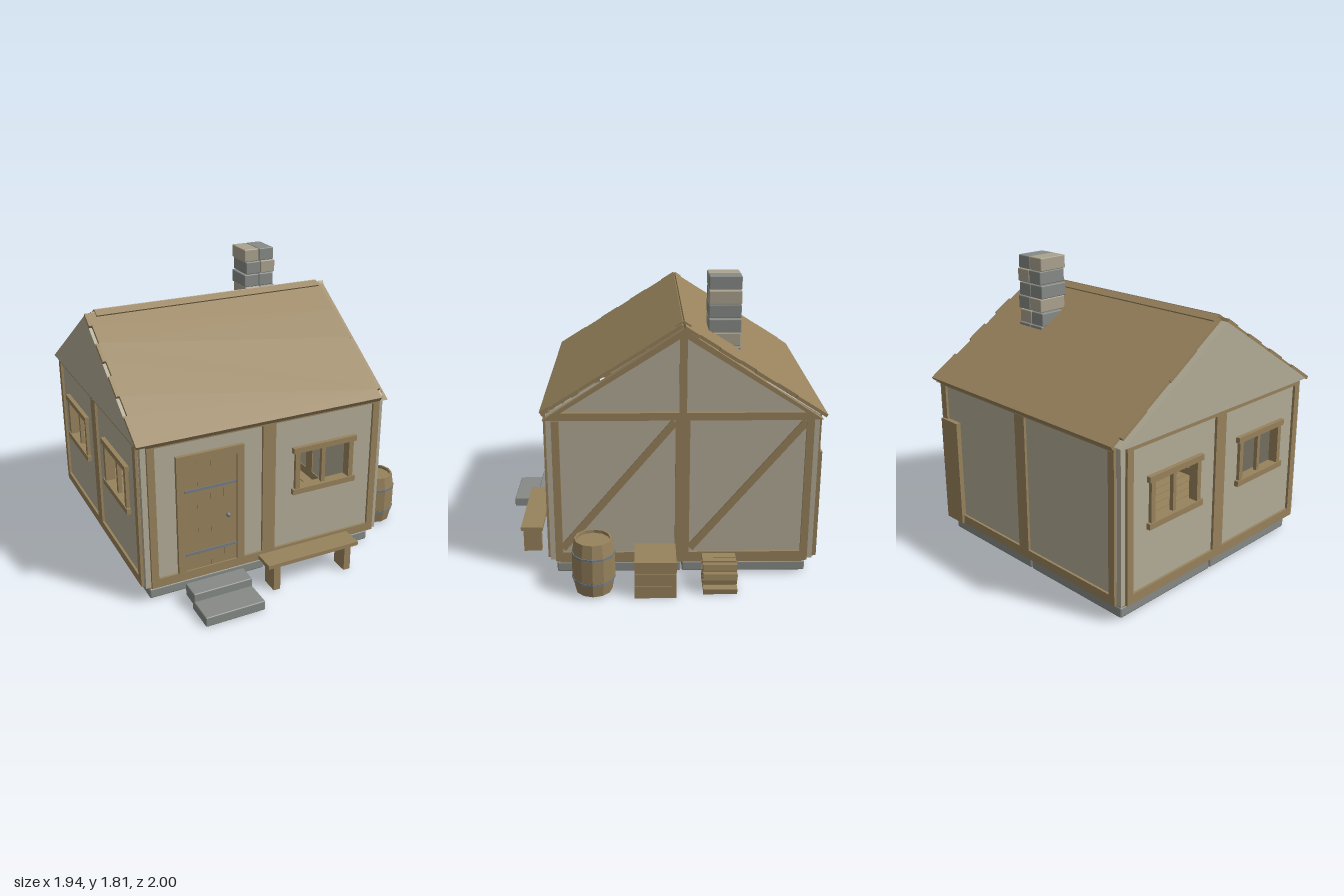
import * as THREE from 'three';
import { RoundedBoxGeometry } from 'three/addons/geometries/RoundedBoxGeometry.js';

const mat = (name, color) => {
  const m = new THREE.MeshStandardMaterial({ color });
  m.name = name;
  return m;
};

export function createModel() {
  const wood = mat('timber', 0x97825c);
  const plaster = mat('plaster', 0xb2ab96);
  const stone = mat('grey stone', 0x868a86);
  const paleStone = mat('pale stone', 0xaaa28e);
  const iron = mat('iron', 0x737d84);

  const model = new THREE.Group();
  const group = (name, parent) => {
    const g = new THREE.Group();
    g.name = name;
    parent.add(g);
    return g;
  };
  const add = (parent, name, geo, m) => {
    const mesh = new THREE.Mesh(geo, m);
    mesh.name = name;
    parent.add(mesh);
    return mesh;
  };
  // Box given by its extents on each axis
  const box = (parent, name, m, x0, x1, y0, y1, z0, z1, bevel = 0) => {
    const s = [x1 - x0, y1 - y0, z1 - z0];
    const geo = bevel ? new RoundedBoxGeometry(...s, 1, bevel) : new THREE.BoxGeometry(...s);
    const mesh = add(parent, name, geo, m);
    mesh.position.set((x0 + x1) / 2, (y0 + y1) / 2, (z0 + z1) / 2);
    return mesh;
  };
  const poly = (pts, Type = THREE.Shape) => new Type(pts.map(p => new THREE.Vector2(...p)));
  const slab = (parent, name, m, shape, z0, z1) => {
    const geo = new THREE.ExtrudeGeometry(shape, { depth: z1 - z0, bevelEnabled: false });
    geo.translate(0, 0, z0);
    return add(parent, name, geo, m);
  };

  const house = group('house', model);
  house.position.set(-0.14, 0, -0.16);
  const H = 0.77;

  // Foundation slabs and floor planks
  for (const sx of [-1, 1]) for (const sz of [-1, 1]) {
    const m = box(house, 'foundationSlab', stone, -0.382, 0.382, 0.005, 0.07, -0.382, 0.382, 0.01);
    m.position.x = sx * 0.386;
    m.position.z = sz * 0.386;
  }
  for (let i = 0; i < 20; i++) {
    const x = -H + i * 0.077;
    box(house, 'floorPlank', wood, x + 0.003, x + 0.074, 0.075, 0.108, -H, H);
  }
  box(house, 'floorCore', wood, -0.765, 0.765, 0.066, 0.1, -0.75, 0.75);

  // One framed wall: local x runs along it, local z points out of the house
  function wall(name, angle, windows) {
    const w = group(name, house);
    w.rotation.y = angle;
    const shape = poly([[-H, 0.11], [H, 0.11], [H, 1.05], [-H, 1.05]]);
    for (const c of windows) {
      shape.holes.push(poly([[c - 0.18, 0.55], [c - 0.18, 0.795], [c + 0.18, 0.795], [c + 0.18, 0.55]], THREE.Path));
      const f = group('window', w);
      f.position.x = c;
      for (const y of [0.515, 0.795]) box(f, 'windowRail', wood, -0.223, 0.223, y, y + 0.036, 0.765, 0.832);
      for (const x of [-0.19, 0.19]) box(f, 'windowJamb', wood, x - 0.016, x + 0.016, 0.55, 0.796, 0.766, 0.826);
      box(f, 'windowMullion', wood, -0.013, 0.013, 0.55, 0.796, 0.785, 0.81);
    }
    slab(w, 'wallPlaster', plaster, shape, 0.775, 0.805);
    box(w, 'sill', wood, -H, H, 0.108, 0.165, 0.768, 0.82);
    box(w, 'topBeam', wood, -H, H, 1.02, 1.065, 0.768, 0.82);
    for (const [a, b] of [[-H, -0.725], [-0.043, 0.043], [0.725, H]])
      box(w, 'post', wood, a, b, 0.165, 1.02, 0.767, 0.821);
    box(w, 'cornerFill', plaster, H, 0.803, 0.11, 1.05, H, 0.803);
    return w;
  }
  // Diagonal brace between two points of a wall
  const brace = (w, x0, x1, z0, z1) => {
    const dx = x1 - x0, dy = 0.82;
    const m = box(w, 'brace', wood, -0.022, 0.022, -Math.hypot(dx, dy) / 2, Math.hypot(dx, dy) / 2, z0, z1);
    m.position.x = (x0 + x1) / 2;
    m.position.y = 0.6;
    m.rotation.z = -Math.atan2(dx, dy);
  };

  const front = wall('frontWall', 0, [0.385]);
  const right = wall('sideWallWithBraces', Math.PI / 2, []);
  const back = wall('backWall', Math.PI, []);
  const left = wall('sideWallWithWindows', -Math.PI / 2, [-0.385, 0.385]);
  brace(right, -0.725, -0.045, 0.8, 0.818);
  brace(right, 0.05, 0.725, 0.8, 0.818);
  brace(back, -0.045, -0.725, 0.765, 0.78);
  brace(back, 0.725, 0.05, 0.765, 0.78);
  box(back, 'leaningBoard', wood, -0.77, -0.61, 0.11, 0.8, 0.8, 0.835);

  // Door with frame, straps and knob
  const door = group('door', front);
  for (const x of [-0.6, -0.215]) box(door, 'doorJamb', wood, x, x + 0.045, 0.165, 0.885, 0.79, 0.828);
  box(door, 'doorLintel', wood, -0.6, -0.17, 0.885, 0.936, 0.79, 0.828);
  for (let i = 0; i < 4; i++) {
    const x = -0.551 + i * 0.084;
    box(door, 'doorPlank', wood, x, x + 0.0835, 0.168, 0.88, 0.78, 0.815);
  }
  for (const y of [0.278, 0.7]) box(door, 'doorStrap', iron, -0.55, -0.217, y - 0.008, y + 0.008, 0.812, 0.82);
  const knob = add(door, 'knob', new THREE.SphereGeometry(0.014, 10, 8), iron);
  knob.position.set(-0.275, 0.49, 0.826);

  // Gables: framed on one end, plain plaster on the other
  const triangle = (w, y0, top) => poly([[-w, y0], [w, y0], [0, top]]);
  slab(right, 'gablePlaster', plaster, triangle(0.8, 1.05, 1.55), 0.775, 0.805);
  const frame = triangle(0.82, 1.025, 1.568);
  for (const s of [-1, 1])
    frame.holes.push(poly([[s * 0.022, 1.07], [s * 0.022, 1.51], [s * 0.715, 1.07]], THREE.Path));
  slab(right, 'gableFrame', wood, frame, 0.775, 0.83);
  slab(left, 'plainGable', plaster, triangle(0.82, 1.05, 1.568), 0.77, 0.835);

  // Roof halves with uneven board ends
  const L = 0.985, pitch = Math.atan(0.634);
  const roofShape = (() => {
    const pts = [];
    const notch = [[0, 0], [0.1, 1], [0.24, 0], [0.38, 1], [0.49, 0], [0.64, 1], [0.78, 0]];
    for (const [t, d] of notch) {
      const next = (notch[notch.findIndex(n => n[0] === t) + 1] || [1])[0];
      const x = -0.835 + d * 0.02;
      pts.push([x, -t * L], [x, -next * L]);
    }
    for (const [a, b, x] of [[1, 0.93, 0.77], [0.93, 0.72, 0.795], [0.72, 0.5, 0.788], [0.5, 0.25, 0.795], [0.25, 0, 0.788]])
      pts.push([x, -a * L], [x, -b * L]);
    return poly(pts);
  })();
  for (const angle of [0, Math.PI]) {
    const side = group('roofHalf', house);
    side.rotation.y = angle;
    const slope = group('roofSlope', side);
    slope.position.y = 1.568;
    slope.rotation.x = pitch - Math.PI / 2;
    slab(slope, 'roofBoards', wood, roofShape, 0, 0.02);
    box(slope, 'ridgeBoard', wood, -H, H, -0.036, 0.012, 0.018, 0.03);
    box(slope, 'eaveBoard', wood, -H, H, -L, -L + 0.025, -0.012, 0.002);
  }

  // Chimney: courses of two bricks with alternating shift
  const chimney = group('chimney', model);
  const pale = ['10', '01', '00', '10', '01', '00'];
  pale.forEach((row, i) => {
    const y = 1.73 - i * 0.0855, shift = i % 2 ? 0.012 : 0;
    for (let k = 0; k < 2; k++) {
      const x = 0.18 + shift + k * 0.107;
      box(chimney, 'brick', row[k] === '1' ? paleStone : stone, x, x + 0.105, y, y + 0.082, -0.515, -0.32, 0.006);
    }
  });

  // Doorstep
  const steps = group('steps', model);
  box(steps, 'upperStep', stone, -0.715, -0.335, 0.035, 0.115, 0.7, 0.828, 0.006);
  box(steps, 'lowerStep', stone, -0.715, -0.335, 0, 0.062, 0.8, 0.998, 0.006);

  // Bench
  const bench = group('bench', model);
  box(bench, 'benchSeat', wood, -0.24, 0.39, 0.165, 0.19, 0.72, 0.86);
  for (const x of [-0.2, 0.3]) box(bench, 'benchLeg', wood, x, x + 0.045, 0, 0.166, 0.735, 0.85);

  // Barrel with faceted staves and hoops
  const barrel = group('barrel', model);
  barrel.position.set(0.84, 0, 0.37);
  const facet = geo => {
    const g = geo.toNonIndexed();
    g.computeVertexNormals();
    return g;
  };
  const profile = [[0, 0.015], [0.11, 0.015], [0.128, 0.11], [0.128, 0.25], [0.112, 0.35], [0.1, 0.35], [0.1, 0.33], [0, 0.33]];
  add(barrel, 'staves', facet(new THREE.LatheGeometry(profile.map(p => new THREE.Vector2(...p)), 12)), wood);
  for (const y of [0.1, 0.26]) {
    const hoop = add(barrel, 'hoop', facet(new THREE.CylinderGeometry(0.13, 0.13, 0.014, 12)), iron);
    hoop.position.y = y;
  }

  // Plank crate
  const crate = group('crate', model);
  box(crate, 'crateCore', wood, 0.71, 0.93, 0.01, 0.22, -0.11, 0.12);
  for (let i = 0; i < 3; i++) box(crate, 'cratePlank', wood, 0.7, 0.94, i * 0.079, i * 0.079 + 0.076, -0.12, 0.128);

  // Stack of split firewood
  const pile = group('firewood', model);
  for (let i = 0; i < 4; i++) {
    const y = 0.005 + i * 0.045;
    for (let k = 0; k < 4 - (i % 2); k++) {
      const x = 0.7 + k * 0.055 + (i % 2) * 0.02;
      const log = box(pile, 'log', wood, x, x + 0.042, y, y + 0.036, -0.482, -0.28);
      log.rotation.z = ((i + k) % 3 - 1) * 0.15;
    }
  }
  return model;
}
